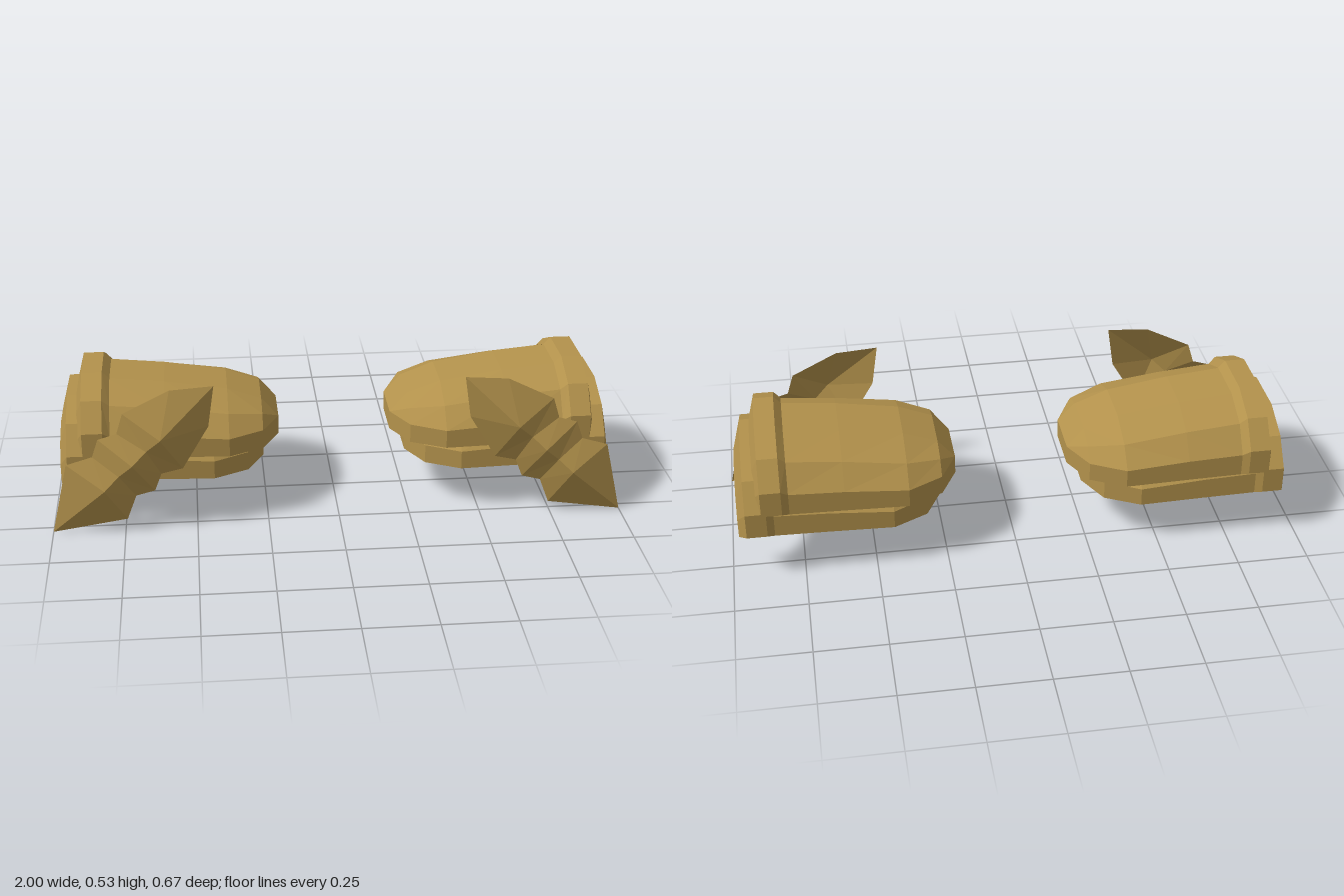
import * as THREE from 'three';

const CENTRE_Z = -0.045;
const STEP_X = 0.055; // the lower tier sits further out ...
const STEP_Y = -0.083; // ... and further down

const brass = new THREE.MeshStandardMaterial({ color: 0xb3924c, side: THREE.DoubleSide });
brass.name = 'brass';

// Flat-shaded surface from triangles; side = -1 mirrors it across x
function facets(name, triangles, side) {
  const positions = [];
  const [a, b, c, ab, ac] = Array.from({ length: 5 }, () => new THREE.Vector3());
  for (const tri of triangles) {
    const t = side > 0 ? tri : [tri[0], tri[2], tri[1]];
    a.fromArray(t[0]); b.fromArray(t[1]); c.fromArray(t[2]);
    if (ab.subVectors(b, a).cross(ac.subVectors(c, a)).length() < 1e-8) continue;
    for (const p of t) positions.push(p[0] * side, p[1], p[2]);
  }
  const geometry = new THREE.BufferGeometry();
  geometry.setAttribute('position', new THREE.Float32BufferAttribute(positions, 3));
  geometry.computeVertexNormals();
  const mesh = new THREE.Mesh(geometry, brass);
  mesh.name = name;
  return mesh;
}

// Arch section at x: four [halfWidth, y] points from the hem to the crown, mirrored in z
function arch(x, half) {
  const near = half.map(([w, y]) => [x, y, CENTRE_Z + w]);
  const far = half.map(([w, y]) => [x, y, CENTRE_Z - w]).reverse();
  return [...near, ...far];
}

function loft(sections) {
  const triangles = [];
  for (let i = 0; i < sections.length - 1; i++) {
    const [p, q] = [sections[i], sections[i + 1]];
    for (let j = 0; j < p.length - 1; j++) {
      triangles.push([p[j], q[j], q[j + 1]], [p[j], q[j + 1], p[j + 1]]);
    }
  }
  return triangles;
}

const collar = [[0.275, 0.25], [0.275, 0.33], [0.21, 0.42], [0.09, 0.472]];
const rimOuter = [[0.288, 0.258], [0.288, 0.35], [0.217, 0.443], [0.093, 0.498]];
const rimInner = [[0.213, 0.213], [0.213, 0.285], [0.165, 0.348], [0.075, 0.388]];

// One overlapping layer: a domed shell and its raised rim
function createTier(name, side) {
  const tier = new THREE.Group();
  tier.name = name;
  const shell = [
    arch(0.2, [[0.09, 0.238], [0.09, 0.305], [0.09, 0.305], [0.09, 0.305]]),
    arch(0.26, [[0.21, 0.238], [0.21, 0.305], [0.165, 0.348], [0.085, 0.373]]),
    arch(0.38, [[0.275, 0.24], [0.275, 0.305], [0.21, 0.372], [0.09, 0.418]]),
    arch(0.6, [[0.275, 0.246], [0.275, 0.322], [0.21, 0.402], [0.09, 0.453]]),
    arch(0.795, collar),
  ];
  const end = shell[0];
  const cap = [[end[0], end[1], end[6]], [end[0], end[6], end[7]]];
  tier.add(facets('shell', [...loft(shell), ...cap], side));
  const rim = [
    arch(0.79, collar),
    arch(0.815, rimOuter),
    arch(0.886, rimOuter),
    arch(0.915, rimInner),
  ];
  tier.add(facets('rim', loft(rim), side));
  return tier;
}

// Notched, ridged plate slanting across the front
function createSpikePlate(side) {
  const top = [0.43, 0.53], length = 0.778;
  const along = [0.733, -0.681], across = [0.681, 0.733];
  const point = (s, w, z) => [
    top[0] + along[0] * s + across[0] * w,
    top[1] + along[1] * s + across[1] * w,
    z,
  ];
  const base = 0.281, peak = 0.335, dip = 0.317;
  const first = point(0, 0, base), last = point(length, 0, base);
  const ridge = [[0.254, peak], [0.322, dip], [0.389, peak], [0.455, dip], [0.523, peak]]
    .map(([s, z]) => point(s, 0, z));
  const outline = [[0.117, 0.094], [0.29, 0.145], [0.356, 0.107], [0.417, 0.137], [0.477, 0.105], [0.562, 0.147]];
  const triangles = [];
  for (const hand of [1, -1]) {
    const edge = outline.map(([s, w]) => point(s, w * hand, base));
    const add = (a, b, c) => triangles.push(hand > 0 ? [a, b, c] : [a, c, b]);
    add(first, ridge[0], edge[0]);
    add(edge[0], ridge[0], edge[1]);
    for (let i = 0; i < 4; i++) {
      add(edge[i + 1], ridge[i], ridge[i + 1]);
      add(edge[i + 1], ridge[i + 1], edge[i + 2]);
    }
    add(edge[5], ridge[4], last);
  }
  return facets('spikePlate', triangles, side);
}

export function createModel() {
  const model = new THREE.Group();
  model.name = 'shoulderGuards';
  for (const side of [1, -1]) {
    const guard = new THREE.Group();
    guard.name = side > 0 ? 'leftShoulderGuard' : 'rightShoulderGuard';
    const lower = createTier('lowerTier', side);
    lower.position.set(STEP_X * side, STEP_Y, 0);
    guard.add(createTier('upperTier', side), lower, createSpikePlate(side));
    model.add(guard);
  }
  return model;
}
